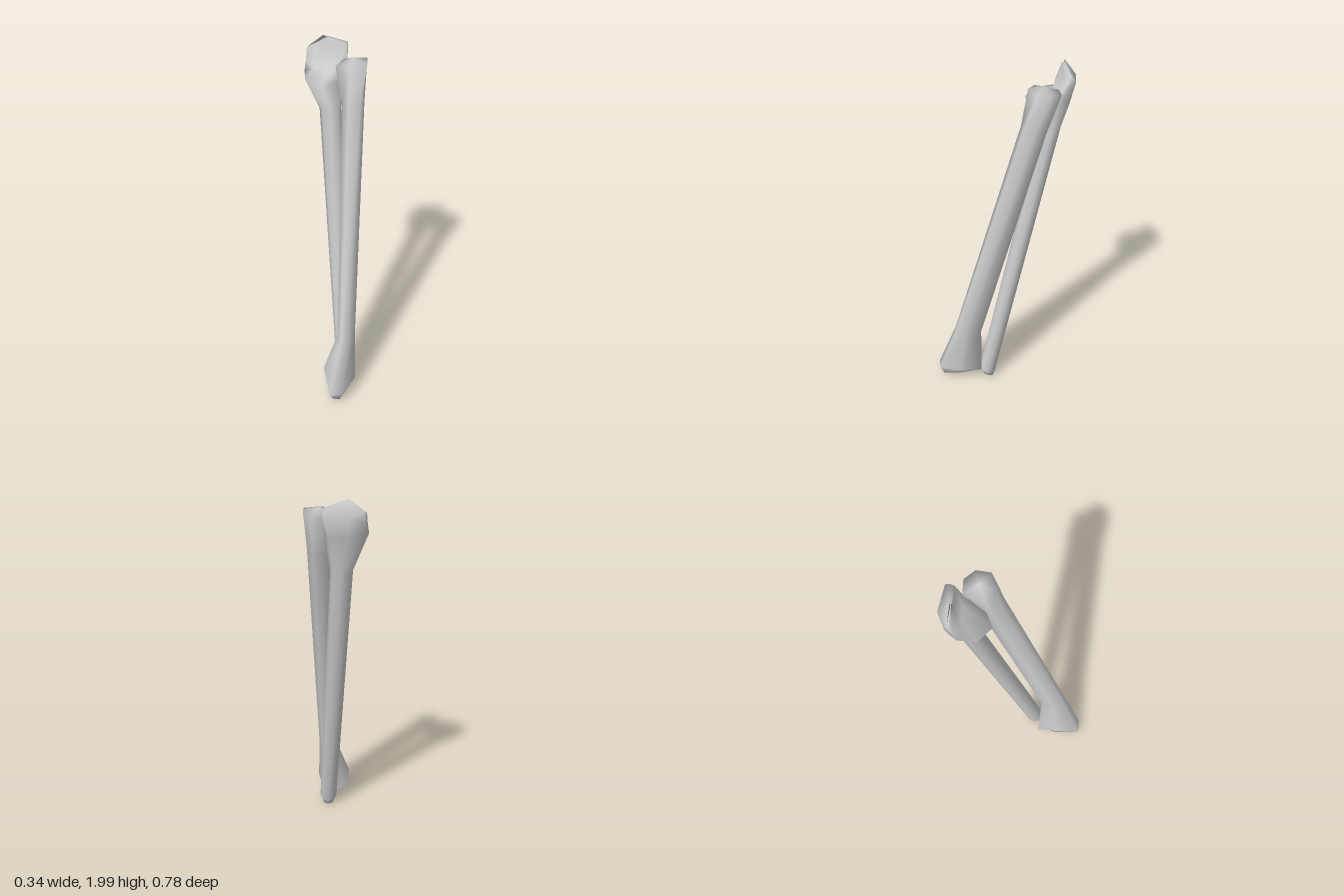
import * as THREE from 'three';

// Smooth skin over rings of equal length, listed bottom to top, each running front -> +x -> back -> -x.
// Both ends close on a centre point.
function loft(name, rings, bottom, top, material) {
  const n = rings[0].length;
  const points = [...rings.flat(), bottom, top];
  const low = rings.length * n, high = low + 1;
  const index = [];
  for (let i = 0; i < n; i++) {
    const j = (i + 1) % n;
    for (let r = 0; r < rings.length - 1; r++) {
      const a = r * n, b = a + n;
      index.push(a + i, a + j, b + j, a + i, b + j, b + i);
    }
    const last = (rings.length - 1) * n;
    index.push(low, j, i, high, last + i, last + j);
  }
  const geometry = new THREE.BufferGeometry();
  geometry.setAttribute('position', new THREE.Float32BufferAttribute(points.flat(), 3));
  geometry.setIndex(index);
  geometry.computeVertexNormals();
  const mesh = new THREE.Mesh(geometry, material);
  mesh.name = name;
  return mesh;
}

// Eight-sided oval ring, raised at the front by tilt
function oval(x, y, z, rx, rz, tilt) {
  return Array.from({ length: 8 }, (_, i) => {
    const t = (i / 8) * Math.PI * 2;
    return [x + rx * Math.sin(t), y + tilt * Math.cos(t), z + rz * Math.cos(t)];
  });
}

export function createModel() {
  const group = new THREE.Group();
  group.name = 'forearmBones';
  const bone = new THREE.MeshStandardMaterial({ color: 0xcccccc });
  bone.name = 'boneGrey';

  // Front bone: flared wrist end, straight shaft, round head
  const radius = [
    // underside of the wrist end
    [[0.035, 0.01, 0.365], [0.1, 0.06, 0.27], [0.075, 0.065, 0.17],
      [-0.03, 0.06, 0.16], [-0.04, 0.06, 0.25], [-0.005, 0.02, 0.37]],
    // widest part of the wrist end
    [[0.05, 0.07, 0.387], [0.125, 0.1, 0.27], [0.09, 0.07, 0.14],
      [-0.045, 0.08, 0.132], [-0.06, 0.15, 0.25], [-0.02, 0.06, 0.39]],
    // lower shaft
    [[0.085, 0.37, 0.285], [0.12, 0.37, 0.23], [0.095, 0.36, 0.14],
      [0.04, 0.36, 0.14], [0.02, 0.37, 0.215], [0.04, 0.37, 0.285]],
    // neck
    [[0.135, 1.69, -0.09], [0.157, 1.68, -0.15], [0.125, 1.67, -0.215],
      [0.06, 1.67, -0.21], [0.035, 1.68, -0.14], [0.07, 1.69, -0.085]],
    // rim of the head
    [[0.17, 1.905, -0.155], [0.17, 1.91, -0.235], [0.125, 1.885, -0.29],
      [0.045, 1.88, -0.285], [0, 1.89, -0.16], [0.075, 1.905, -0.12]],
  ];
  group.add(loft('radiusBone', radius, [0.03, 0.045, 0.25], [0.09, 1.922, -0.205], bone));

  // Rear bone: thin shaft, notched elbow end with a raised hook
  const ulna = [
    oval(0.06, 0.025, 0.1, 0.036, 0.036, 0.012),
    oval(0.06, 0.055, 0.103, 0.048, 0.046, 0.015),
    oval(-0.03, 1.6, -0.25, 0.06, 0.052, 0.01),
    // lip below the notch
    [[-0.075, 1.79, -0.118], [0, 1.79, -0.16], [0.06, 1.81, -0.285], [0.035, 1.8, -0.345],
      [-0.07, 1.8, -0.357], [-0.14, 1.8, -0.33], [-0.172, 1.81, -0.285], [-0.165, 1.8, -0.185]],
    // floor of the notch and back of the hook
    [[-0.06, 1.83, -0.275], [0, 1.825, -0.275], [0.06, 1.85, -0.287], [0.065, 1.93, -0.37],
      [-0.075, 1.91, -0.388], [-0.15, 1.88, -0.345], [-0.165, 1.86, -0.295], [-0.12, 1.825, -0.275]],
    // ridge of the hook
    [[-0.07, 1.985, -0.31], [0, 1.965, -0.312], [0.055, 1.95, -0.32], [0.06, 1.955, -0.345],
      [-0.07, 2, -0.325], [-0.15, 1.935, -0.328], [-0.16, 1.925, -0.317], [-0.11, 1.955, -0.312]],
  ];
  group.add(loft('ulnaBone', ulna, [0.06, 0.02, 0.1], [-0.05, 1.985, -0.32], bone));

  return group;
}
